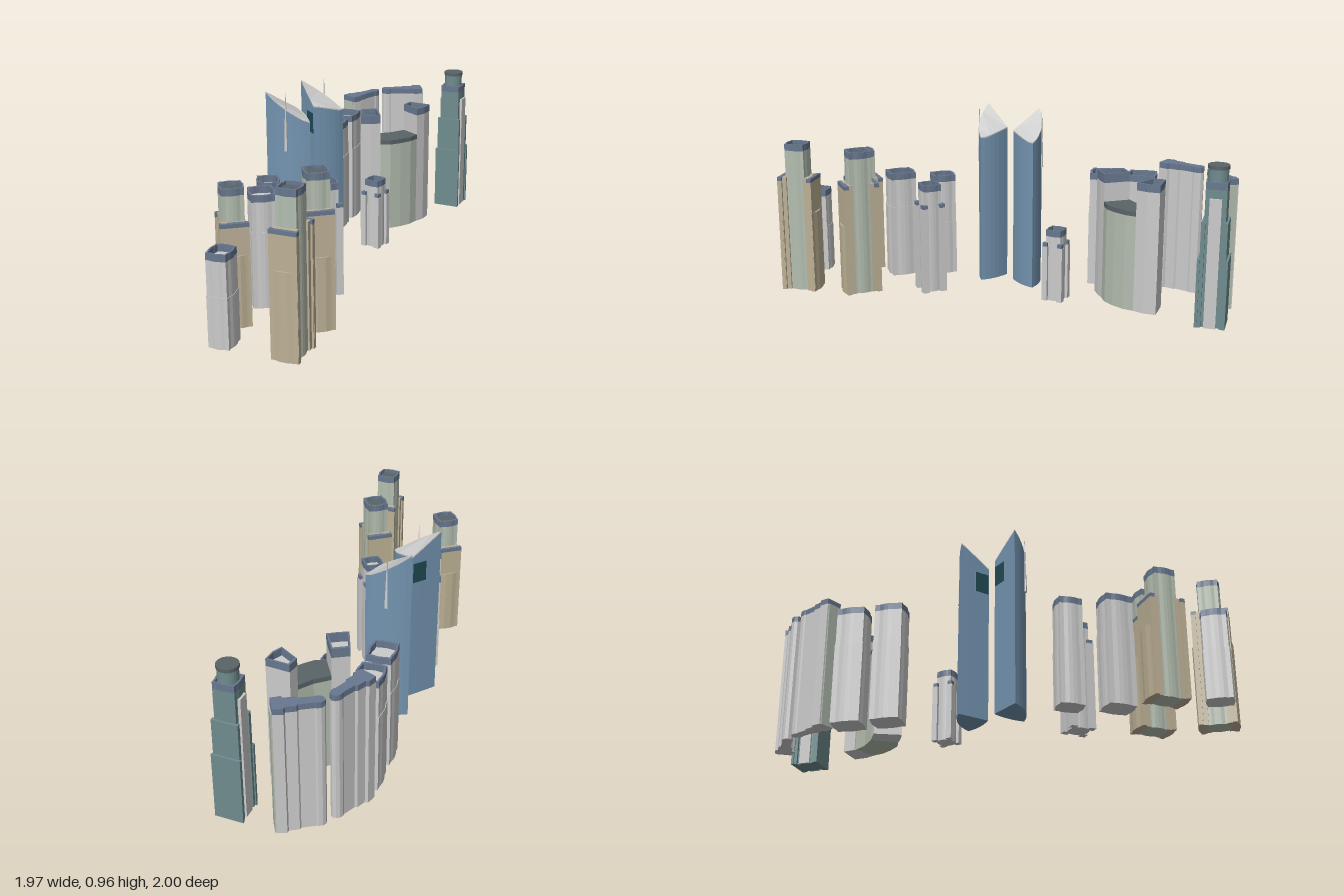
import * as THREE from 'three';

const mat = (color) => new THREE.MeshStandardMaterial({ color, flatShading: true, side: THREE.DoubleSide });
const GREY = mat(0xcccccc), SLATE = mat(0x68788f), TAN = mat(0xbdb196), SAGE = mat(0xb4beb0);
const TEAL = mat(0x6f8c8e), BLUE = mat(0x7394b0), GLASS = mat(0x1f4a54), DARK = mat(0x5a6468);

// Upright prism over an [x, z] outline, optionally with a hole
function prism(name, pts, y0, y1, material, hole) {
  const v = (p) => p.map(([x, z]) => new THREE.Vector2(x, -z));
  const shape = new THREE.Shape(v(pts));
  if (hole) shape.holes.push(new THREE.Path(v(hole)));
  const geo = new THREE.ExtrudeGeometry(shape, { depth: y1 - y0, bevelEnabled: false });
  geo.rotateX(-Math.PI / 2).translate(0, y0, 0);
  const mesh = new THREE.Mesh(geo, material);
  mesh.name = name;
  return mesh;
}

const scaled = (pts, s) => {
  const cx = pts.reduce((a, p) => a + p[0], 0) / pts.length;
  const cz = pts.reduce((a, p) => a + p[1], 0) / pts.length;
  return pts.map(([x, z]) => [cx + (x - cx) * s, cz + (z - cz) * s]);
};

const rect = (w, d, cx = 0, cz = 0) => [
  [cx - w / 2, cz - d / 2], [cx + w / 2, cz - d / 2], [cx + w / 2, cz + d / 2], [cx - w / 2, cz + d / 2]];

// Rectangle whose sides swell out between flat corner strips
function bulged(w, d, b) {
  const out = [];
  const c = rect(w, d);
  for (let i = 0; i < 4; i++) {
    const p = c[i], q = c[(i + 1) % 4];
    const len = Math.hypot(q[0] - p[0], q[1] - p[1]);
    const n = [(q[1] - p[1]) / len, -(q[0] - p[0]) / len];
    for (const [t, k] of [[0, 0], [0.18, 0], [0.34, 0.75], [0.5, 1], [0.66, 0.75], [0.82, 0]])
      out.push([p[0] + (q[0] - p[0]) * t + n[0] * b * k, p[1] + (q[1] - p[1]) * t + n[1] * b * k]);
  }
  return out;
}

// Wall with a slate parapet around a sunken roof
function capped(name, pts, y0, top, material, cap = 0.035) {
  const g = new THREE.Group();
  g.name = name;
  g.add(prism('wall', pts, y0, top - cap, material));
  g.add(prism('parapet', pts, top - cap, top, SLATE, scaled(pts, 0.84)));
  return g;
}

// Group set down at x, z and turned by degrees in plan (x towards z)
function placed(name, x, z, deg, ...parts) {
  const g = new THREE.Group();
  g.name = name;
  g.position.set(x, 0, z);
  g.rotation.y = -THREE.MathUtils.degToRad(deg);
  g.add(...parts);
  return g;
}

function plainTower(x, z, deg, w, d, h, seam) {
  const pts = bulged(w * 0.96, d * 0.96, 0.007);
  return placed('plainTower', x, z, deg,
    prism('lowerStorey', scaled(pts, 1.04), 0, seam, GREY), capped('upperStorey', pts, seam, h, GREY));
}

function turretTower(x, z, deg, half, size, h, turretH) {
  const g = placed('turretTower', x, z, deg, capped('keep', bulged(half * 1.95, half * 1.95, 0.005), 0, h, GREY));
  for (const sx of [-1, 1]) for (const sz of [-1, 1]) {
    g.add(prism('cornerTurret', rect(size, size, sx * half, sz * half), 0, turretH - 0.02, GREY));
    g.add(prism('turretCap', rect(size * 0.85, size * 0.85, sx * half, sz * half), turretH - 0.02, turretH, SLATE));
  }
  return g;
}

// Spool plan: tall core with stepped wings at both ends
function spoolTower(x, z, deg, core, h, wingH, baseH) {
  const g = placed('spoolTower', x, z, deg, capped('core', bulged(core, core + 0.005, 0.007), 0, h, SAGE));
  g.add(prism('coreRoof', rect(core * 0.86, core * 0.86), h - 0.035, h - 0.015, DARK));
  for (const s of [-1, 1]) {
    g.add(prism('innerWing', rect(0.118, 0.03, 0, s * 0.062), 0, wingH, TAN));
    g.add(prism('outerWing', rect(0.138, 0.025, 0, s * 0.083), 0, wingH - 0.02, TAN));
    g.add(prism('wingCap', rect(0.138, 0.025, 0, s * 0.083), wingH - 0.02, wingH, SLATE));
    const bow = [[-0.07, 0.075], [0.07, 0.075], [0.07, 0.094], [0.045, 0.097], [0.02, 0.104], [-0.02, 0.104],
      [-0.045, 0.097], [-0.07, 0.094]].map(([a, b]) => [a, b * s]);
    g.add(prism('wingBase', bow, 0, baseH, TAN));
  }
  return g;
}

// Long slab stepping down to a rounded nose
function noseSlab(x, z, deg, flip) {
  const half = [[0, 0.045], [0.05, 0.05], [0.058, 0.036], [0.11, 0.036], [0.118, 0.026], [0.19, 0.024],
    [0.2, 0.028], [0.22, 0.027], [0.236, 0.017]];
  const pts = [...half, [0.243, 0], ...half.map(([a, b]) => [a, -b]).reverse()].map(([a, b]) => [a * flip, b]);
  return placed('noseSlab', x, z, deg, prism('wall', pts, 0, 0.67, GREY), prism('cap', pts, 0.67, 0.7, SLATE),
    prism('endPanel', rect(0.008, 0.075, -0.002 * flip, 0), 0, 0.67, SAGE));
}

// Sail tower: three-cornered plan, roof sweeping up to the tip
function sailTower(tip, far, side) {
  const g = new THREE.Group();
  g.name = 'sailTower';
  const mid = [(tip[0] + far[0] + side[0]) / 3, (tip[1] + far[1] + side[1]) / 3];
  const arc = (a, b, bulge, n) => Array.from({ length: n }, (_, i) => {
    const t = i / n, k = bulge * 4 * t * (1 - t);
    const m = [(a[0] + b[0]) / 2 - mid[0], (a[1] + b[1]) / 2 - mid[1]], l = Math.hypot(...m);
    return [a[0] + (b[0] - a[0]) * t + m[0] / l * k, a[1] + (b[1] - a[1]) * t + m[1] / l * k];
  });
  const pts = [...arc(tip, far, 0.03, 8), ...arc(far, side, 0.014, 6), ...arc(side, tip, 0.001, 4)];
  const body = prism('shaft', pts, 0, 0.81, BLUE);
  const p = body.geometry.attributes.position;
  // lift the top edge by closeness to the tip
  const reach = Math.hypot(far[0] - tip[0], far[1] - tip[1]);
  const lift = (x, z) => 0.14 * Math.max(0, 1 - Math.hypot(x - tip[0], z - tip[1]) / reach / 0.95);
  for (let i = 0; i < p.count; i++) if (p.getY(i) > 0.5) p.setY(i, 0.81 + lift(p.getX(i), p.getZ(i)));
  body.geometry.computeVertexNormals();
  g.add(body);
  // pale roof skin over the shaft
  const roof = prism('sailRoof', pts, 0.81, 0.816, GREY);
  const r = roof.geometry.attributes.position;
  for (let i = 0; i < r.count; i++) r.setY(i, r.getY(i) + lift(r.getX(i), r.getZ(i)));
  roof.geometry.computeVertexNormals();
  g.add(roof);
  // thin mast on the curved side
  const m = pts[4];
  const mast = new THREE.Mesh(new THREE.CylinderGeometry(0.001, 0.012, 0.31, 4), GREY);
  mast.name = 'mast';
  mast.position.set(m[0], 0.81, m[1]);
  g.add(mast);
  // dark glazing under the roof on the flat side
  const q = (t, o) => [side[0] + (tip[0] - side[0]) * t + (side[0] - mid[0]) * o, side[1] + (tip[1] - side[1]) * t + (side[1] - mid[1]) * o];
  g.add(prism('glazing', [q(0.04, 0.05), q(0.5, 0.05), q(0.5, -0.05), q(0.04, -0.05)], 0.7, 0.81, GLASS));
  return g;
}

// Curved block: two capped ends with a lower middle
function curvedBlock() {
  const g = new THREE.Group();
  g.name = 'curvedBlock';
  const left = [[0.19, -0.487], [0.24, -0.62], [0.33, -0.6], [0.3, -0.46], [0.245, -0.47]];
  const right = [[0.54, -0.497], [0.508, -0.62], [0.56, -0.66], [0.645, -0.565], [0.595, -0.52]];
  const centre = [[0.3, -0.46], [0.33, -0.6], [0.42, -0.596], [0.508, -0.615], [0.54, -0.497], [0.49, -0.466],
    [0.42, -0.448], [0.355, -0.442]];
  g.add(capped('leftEnd', left, 0, 0.685, GREY, 0.05), capped('rightEnd', right, 0, 0.69, GREY, 0.04));
  g.add(prism('middle', centre, 0, 0.51, SAGE), prism('middleRoof', centre, 0.51, 0.535, DARK));
  return g;
}

// Diagonal tower with side plates and a drum on top
function drumTower() {
  const g = placed('drumTower', 0.875, -0.74, 45,
    prism('shaft', bulged(0.11, 0.105, 0.004), 0, 0.67, TEAL),
    capped('shaftTop', bulged(0.11, 0.105, 0.004), 0.67, 0.75, TEAL));
  for (const s of [-1, 1]) {
    g.add(prism('tallPlate', rect(0.135, 0.02, 0, s * 0.055), 0, 0.55, TEAL));
    g.add(prism('lowPlate', rect(0.148, 0.014, 0, s * 0.069), 0, 0.36, TEAL));
    g.add(prism('sideRib', rect(0.02, 0.06, s * 0.06, 0), 0, 0.67, GREY));
  }
  const drum = new THREE.Mesh(new THREE.CylinderGeometry(0.05, 0.05, 0.13, 24), TEAL);
  drum.name = 'drum';
  drum.position.y = 0.75;
  const lid = new THREE.Mesh(new THREE.CylinderGeometry(0.054, 0.054, 0.018, 24), DARK);
  lid.name = 'drumLid';
  lid.position.y = 0.82;
  g.add(drum, lid);
  return g;
}

export function createModel() {
  const city = new THREE.Group();
  city.name = 'skyline';
  city.add(
    plainTower(0.07, -0.615, 41, 0.13, 0.15, 0.63, 0.43),
    plainTower(0.203, -0.77, 40, 0.13, 0.15, 0.63, 0.43),
    plainTower(-0.516, 0.083, 11, 0.11, 0.125, 0.57, 0.3),
    plainTower(-0.61, 0.298, 7, 0.127, 0.145, 0.59, 0.4),
    plainTower(-0.907, 0.68, 39, 0.105, 0.125, 0.47, 0.26),
    turretTower(0.187, -0.24, -36, 0.042, 0.03, 0.39, 0.32),
    turretTower(-0.268, 0.28, 5, 0.049, 0.036, 0.595, 0.49),
    spoolTower(-0.797, 0.449, 6, 0.108, 0.69, 0.53, 0.37),
    spoolTower(-0.434, 0.62, 6, 0.11, 0.78, 0.605, 0.38),
    spoolTower(-0.633, 0.881, 42, 0.1, 0.81, 0.63, 0.44),
    noseSlab(0.255, -0.868, -24, 1),
    noseSlab(0.746, -0.927, 13, -1),
    sailTower([-0.2, -0.355], [-0.012, -0.21], [-0.185, -0.187]),
    sailTower([-0.447, -0.175], [-0.257, -0.025], [-0.277, -0.2]),
    curvedBlock(),
    drumTower(),
  );
  return city;
}
